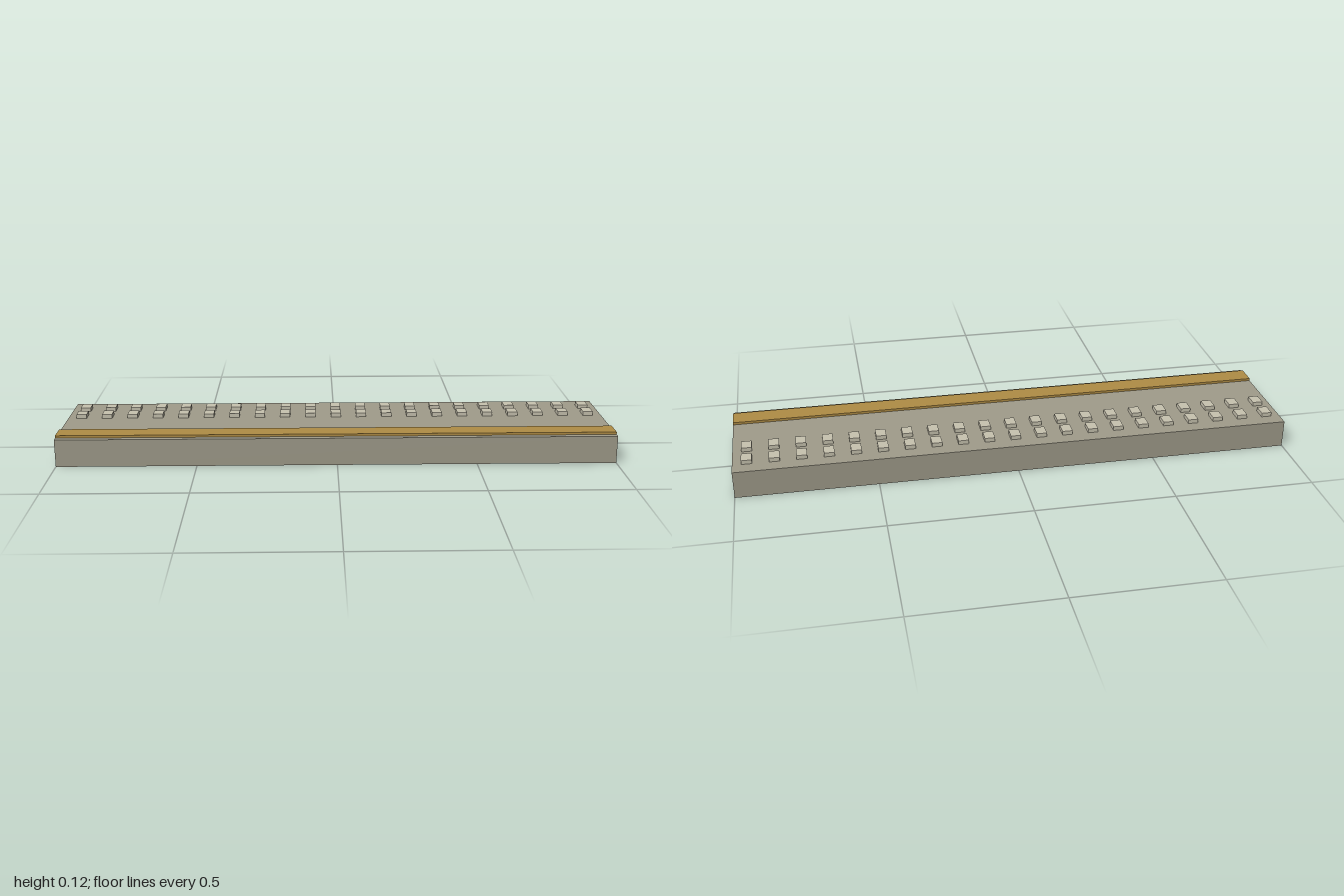
import * as THREE from 'three';

const slabMat = new THREE.MeshStandardMaterial({ color: 0xa09c8b });
const stripMat = new THREE.MeshStandardMaterial({ color: 0xb08d45 });
const studMat = new THREE.MeshStandardMaterial({ color: 0xc8c3b0 });

const SLAB_TOP = 0.1;

// Box standing on height y, centred on x and z
function addBox(parent, name, size, x, y, z, material) {
  const mesh = new THREE.Mesh(new THREE.BoxGeometry(...size), material);
  mesh.name = name;
  mesh.position.set(x, y + size[1] / 2, z);
  parent.add(mesh);
}

export function createModel() {
  const model = new THREE.Group();
  model.name = 'pavingSlab';

  // Base slab
  addBox(model, 'slab', [2, SLAB_TOP, 0.452], 0, 0, 0, slabMat);

  // Coloured strip along the front edge
  addBox(model, 'edgeStrip', [2, 0.009, 0.076], 0, SLAB_TOP, 0.166, stripMat);

  // Two rows of raised studs towards the back
  const count = 21;
  const pitch = 0.095;
  [['frontStudRow', -0.059], ['backStudRow', -0.149]].forEach(([name, z]) => {
    const row = new THREE.Group();
    row.name = name;
    for (let i = 0; i < count; i++) {
      const x = (i - (count - 1) / 2) * pitch;
      addBox(row, 'stud', [0.037, 0.015, 0.05], x, SLAB_TOP, z, studMat);
    }
    model.add(row);
  });

  return model;
}
